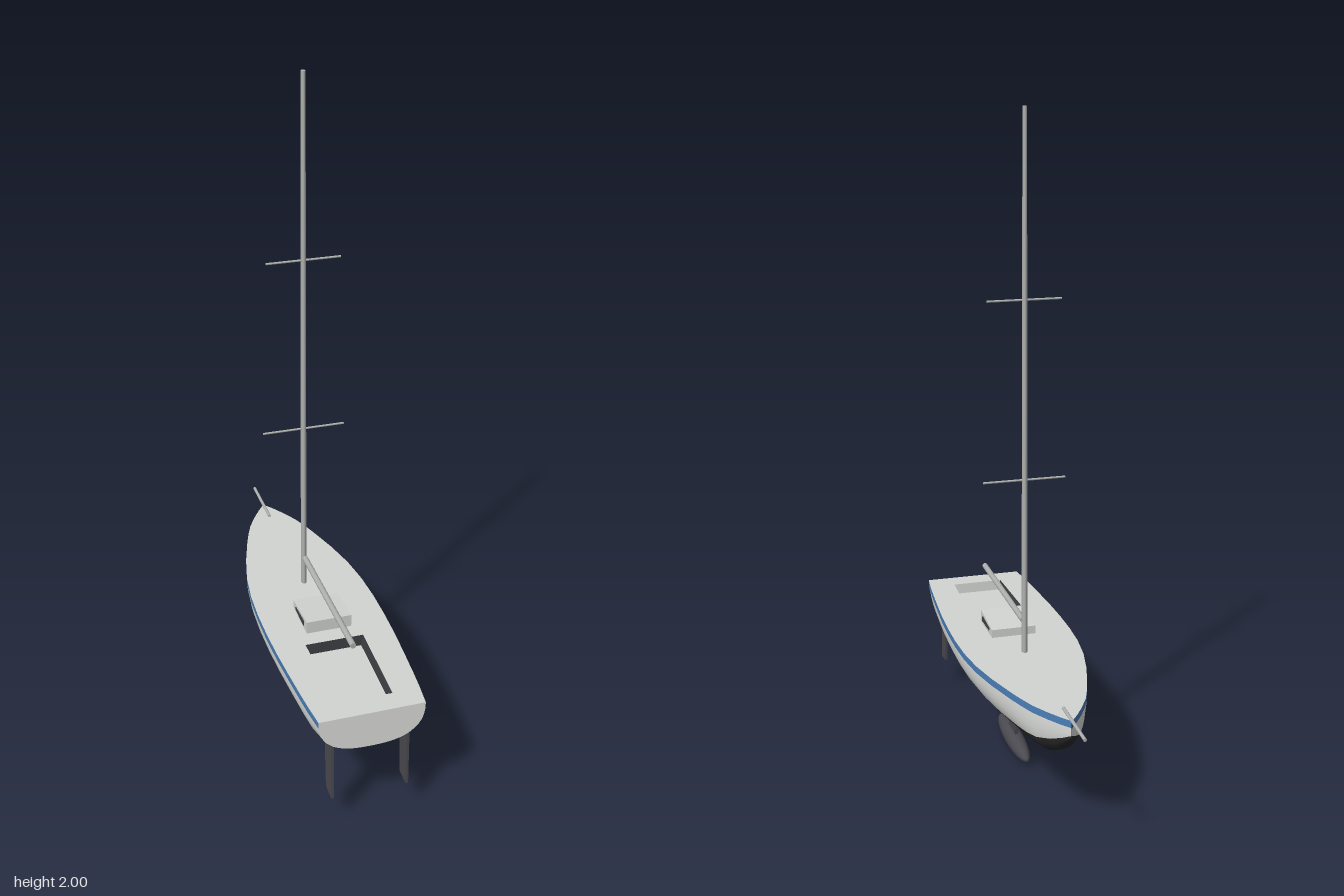
import * as THREE from 'three';

const mat = (name, color, side = THREE.FrontSide) => {
  const m = new THREE.MeshStandardMaterial({ color, side });
  m.name = name;
  return m;
};

// Stations from bow (-z) to stern (+z): z, half beam, keel height, waterline height
const STATIONS = [
  [-0.52, 0.001, 0.335, 0.342], [-0.49, 0.024, 0.306, 0.324], [-0.45, 0.05, 0.27, 0.304],
  [-0.4, 0.078, 0.238, 0.288], [-0.35, 0.098, 0.232, 0.281], [-0.3, 0.115, 0.231, 0.278],
  [-0.2, 0.145, 0.23, 0.277], [-0.1, 0.168, 0.23, 0.277], [0, 0.181, 0.23, 0.277],
  [0.1, 0.186, 0.23, 0.277], [0.2, 0.186, 0.23, 0.277], [0.3, 0.183, 0.23, 0.278],
  [0.4, 0.177, 0.23, 0.279], [0.5, 0.17, 0.231, 0.281], [0.56, 0.165, 0.235, 0.282],
  [0.633, 0.157, 0.262, 0.285],
];
const sheer = (z) => 0.383 - 0.0087 * z;
const POWER = 2.6;

// Half section from deck edge to keel: blue row, white rows, then bottom rows
function section([, beam, keel, water], z) {
  const top = sheer(z), depth = top - keel, wl = (top - water) / depth;
  const band = Math.min(0.022 / depth, wl * 0.6);
  const rows = [0, band];
  for (let i = 1; i <= 4; i++) rows.push(band + (wl - band) * i / 4);
  const a0 = Math.asin(Math.pow(wl, POWER / 2));
  for (let i = 1; i <= 8; i++) {
    rows.push(Math.pow(Math.sin(a0 + (Math.PI / 2 - a0) * i / 8), 2 / POWER));
  }
  return rows.map((d) => [beam * Math.pow(Math.max(0, 1 - Math.pow(d, POWER)), 1 / POWER), top - d * depth]);
}

// Whole section, from the left deck edge under the keel to the right deck edge
function ring(st) {
  const half = section(st, st[0]);
  return [...half, ...half.slice(0, -1).reverse().map(([x, y]) => [-x, y])];
}

function hullGeometry() {
  const rings = STATIONS.map(ring), n = rings[0].length, pos = [], index = [];
  rings.forEach((r, i) => r.forEach(([x, y]) => pos.push(x, y, STATIONS[i][0])));
  const g = new THREE.BufferGeometry();
  for (let j = 0; j < n - 1; j++) {
    const row = Math.min(j, n - 2 - j), start = index.length;
    for (let i = 0; i < rings.length - 1; i++) {
      const a = i * n + j, b = a + 1, c = a + n, d = c + 1;
      index.push(a, c, b, b, c, d);
    }
    g.addGroup(start, index.length - start, row === 0 ? 0 : row < 5 ? 1 : 2);
  }
  g.setAttribute('position', new THREE.Float32BufferAttribute(pos, 3));
  g.setIndex(index);
  g.computeVertexNormals();
  return g;
}

// Side profile of [z, y] points, given a width across x
function sideProfile(points, width) {
  const shape = new THREE.Shape(points.map(([z, y]) => new THREE.Vector2(z, y)));
  return new THREE.ExtrudeGeometry(shape, { depth: width, bevelEnabled: false })
    .rotateY(-Math.PI / 2).translate(width / 2, 0, 0);
}

// Flat panel through four corners
function quad(a, b, c, d) {
  const g = new THREE.BufferGeometry();
  g.setAttribute('position', new THREE.Float32BufferAttribute([...a, ...b, ...c, ...d], 3));
  g.setIndex([0, 1, 2, 0, 2, 3]);
  g.computeVertexNormals();
  return g;
}

// Tapered round bar between two points
function bar(from, to, r0, r1 = r0) {
  const a = new THREE.Vector3(...from), b = new THREE.Vector3(...to), dir = b.clone().sub(a);
  const g = new THREE.CylinderGeometry(r1, r0, dir.length(), 16);
  g.applyQuaternion(new THREE.Quaternion().setFromUnitVectors(new THREE.Vector3(0, 1, 0), dir.normalize()));
  const mid = a.add(b).multiplyScalar(0.5);
  return g.translate(mid.x, mid.y, mid.z);
}

export function createModel() {
  const white = mat('hull white', 0xdfe1de);
  const deckGrey = mat('deck grey', 0xd2d5d2, THREE.DoubleSide);
  const blue = mat('stripe blue', 0x4b7fb8);
  const black = mat('bottom black', 0x2b2b2d);
  const foil = mat('foil grey', 0x4a4a50);
  const metal = mat('spar grey', 0xaeb0ae);
  const dark = mat('trim dark', 0x3c3f42, THREE.DoubleSide);

  const boat = new THREE.Group();
  boat.name = 'sailboat';
  const add = (name, geometry, material) => {
    const m = new THREE.Mesh(geometry, material);
    m.name = name;
    boat.add(m);
    return m;
  };

  // Hull and transom
  add('hull', hullGeometry(), [blue, white, black]);
  const stern = STATIONS[STATIONS.length - 1];
  const transom = new THREE.Shape(ring(stern).map(([x, y]) => new THREE.Vector2(x, y)));
  add('transom', new THREE.ShapeGeometry(transom).translate(0, 0, stern[0]), white);

  // Deck with the cockpit cut out
  const rim = [[0.09, 0.285], [0.081, 0.568], [-0.081, 0.568], [-0.09, 0.285]];
  const outline = [
    ...STATIONS.map(([z, b]) => new THREE.Vector2(b, -z)),
    ...STATIONS.slice().reverse().map(([z, b]) => new THREE.Vector2(-b, -z)),
  ];
  const deckShape = new THREE.Shape(outline);
  deckShape.holes.push(new THREE.Path(rim.map(([x, z]) => new THREE.Vector2(x, -z))));
  const deck = new THREE.ShapeGeometry(deckShape).rotateX(-Math.PI / 2);
  const p = deck.attributes.position;
  for (let i = 0; i < p.count; i++) p.setY(i, sheer(p.getZ(i)));
  add('deck', deck, deckGrey);

  // Cockpit floor and walls, narrowing slightly downwards
  const floorY = 0.345;
  const upper = rim.map(([x, z]) => [x, sheer(z), z]);
  const lower = rim.map(([x, z]) => [x * 0.93, floorY, z < 0.4 ? z + 0.002 : z - 0.003]);
  add('cockpitFloor', quad(lower[0], lower[3], lower[2], lower[1]), deckGrey);
  for (let i = 0; i < 4; i++) {
    const j = (i + 1) % 4;
    add('cockpitWall', quad(upper[i], upper[j], lower[j], lower[i]), i === 1 ? deckGrey : dark);
  }

  // Companionway cabin with side windows
  add('cabin', sideProfile([[0.09, 0.375], [0.232, 0.375], [0.232, 0.42], [0.09, 0.408]], 0.14), deckGrey);
  for (const s of [-1, 1]) {
    const pane = sideProfile([[0.12, 0.396], [0.205, 0.392], [0.205, 0.408], [0.12, 0.402]], 0.004);
    add('cabinWindow', pane.translate(s * 0.071, 0, 0), dark);
  }

  // Mast, oval in section, with spreaders
  const mast = bar([0, 0.375, 0], [0, 2, 0], 0.0125, 0.009);
  mast.scale(0.7, 1, 1).translate(0, 0, -0.035);
  add('mast', mast, metal);
  for (const [y, half] of [[0.93, 0.125], [1.465, 0.11]]) {
    add('spreader', bar([-half, y, -0.033], [half, y, -0.033], 0.0032), metal);
  }

  // Boom and bowsprit
  add('boom', bar([0, 0.48, -0.018], [0, 0.48, 0.458], 0.009), metal);
  add('bowsprit', bar([0, 0.388, -0.44], [0, 0.389, -0.637], 0.005), metal);

  // Keel fin and bulb
  add('keelFin', sideProfile([[0.132, 0.045], [0.058, 0.045], [0.038, 0.24], [0.12, 0.24]], 0.01), foil);
  add('keelBulb', new THREE.SphereGeometry(0.029, 24, 16).scale(1, 1, 5.6).translate(0, 0.0295, 0.092), foil);

  // Twin rudders
  for (const s of [-1, 1]) {
    const blade = sideProfile([[0.627, 0.093], [0.576, 0.097], [0.559, 0.275], [0.622, 0.285]], 0.008);
    add('rudder', blade.translate(s * 0.112, 0, 0), foil);
  }
  return boat;
}
